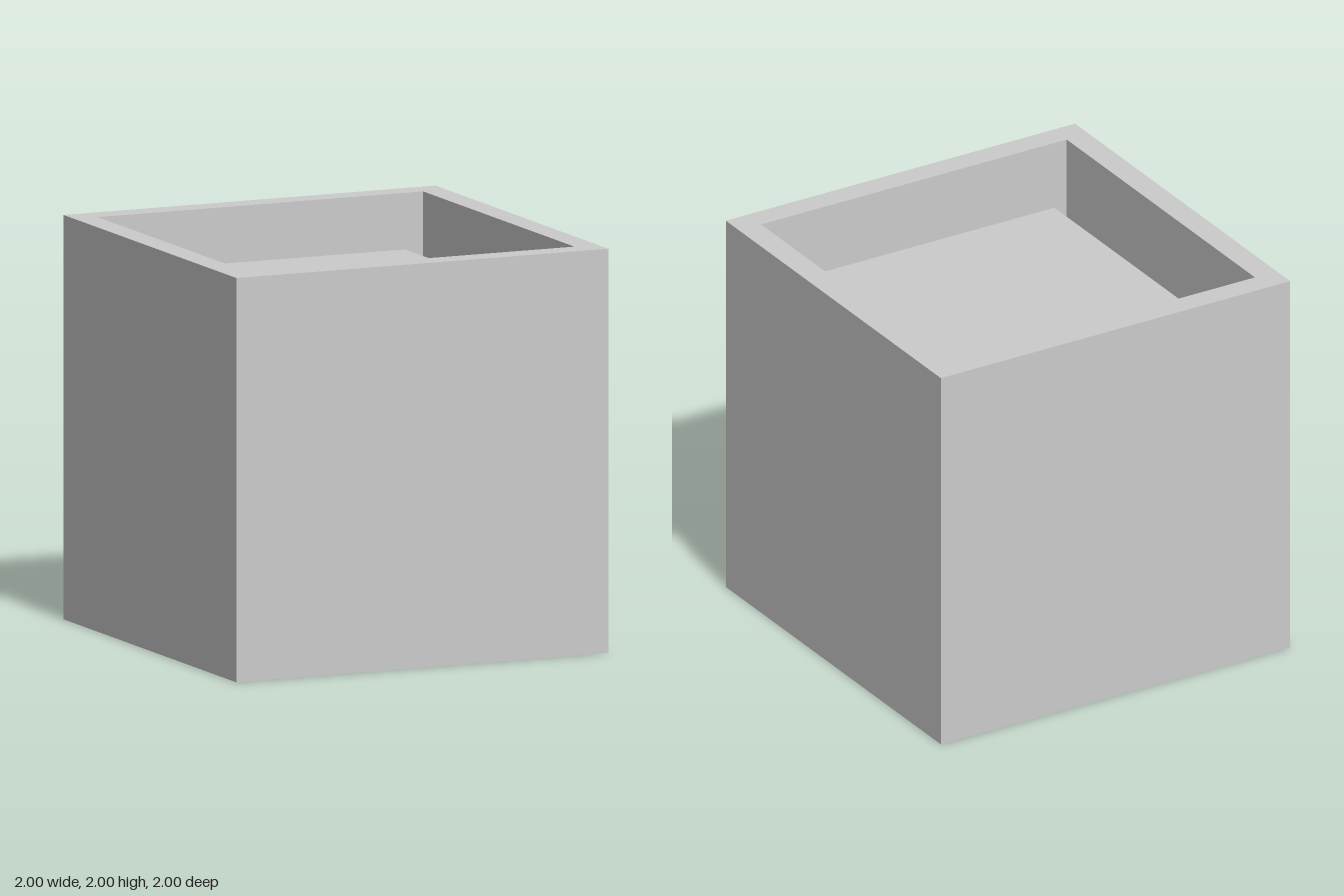
import * as THREE from 'three';

const material = new THREE.MeshStandardMaterial({ color: 0xcccccc, flatShading: true });

function add(parent, name, geometry, x = 0, y = 0, z = 0) {
  const mesh = new THREE.Mesh(geometry, material);
  mesh.name = name;
  mesh.position.set(x, y, z);
  parent.add(mesh);
  return mesh;
}

function square(half, Type = THREE.Shape) {
  return new Type([[-half, -half], [half, -half], [half, half], [-half, half]]
    .map(([x, y]) => new THREE.Vector2(x, y)));
}

export function createModel() {
  const model = new THREE.Group();
  model.name = 'openCrate';
  const floorTop = 0.125, blockTop = 1.755, blockHalf = 0.692;

  // Outer shell: floor slab and a square ring of walls
  add(model, 'floor', new THREE.BoxGeometry(2, floorTop, 2), 0, floorTop / 2, 0);
  const ring = square(1);
  ring.holes.push(square(0.875, THREE.Path));
  const walls = new THREE.ExtrudeGeometry(ring, { depth: 2 - floorTop, bevelEnabled: false });
  walls.rotateX(-Math.PI / 2);
  add(model, 'walls', walls, 0, floorTop, 0);

  // Inner block standing in the shell
  const height = blockTop - floorTop;
  add(model, 'innerBlock', new THREE.BoxGeometry(2 * blockHalf, height, 2 * blockHalf),
    0, floorTop + height / 2, 0);

  // Tapered knobs with a thin base flange, pointing out along +z
  const knobGeometry = new THREE.CylinderGeometry(0.185, 0.23, 0.13, 16);
  knobGeometry.rotateY(Math.PI / 16).rotateX(Math.PI / 2).translate(0, 0, 0.077);
  const flangeGeometry = new THREE.CylinderGeometry(0.24, 0.24, 0.012, 16);
  flangeGeometry.rotateX(Math.PI / 2).translate(0, 0, 0.006);

  // Two by two knobs on the front, left and back of the block
  const sides = { front: 0, left: Math.PI / 2, back: Math.PI };
  for (const [side, angle] of Object.entries(sides)) {
    const panel = new THREE.Group();
    panel.name = side + 'Knobs';
    panel.rotation.y = angle;
    for (const x of [-0.255, 0.255]) {
      for (const y of [0.81, 1.32]) {
        add(panel, 'knob', knobGeometry, x, y, blockHalf);
        add(panel, 'knobFlange', flangeGeometry, x, y, blockHalf);
      }
    }
    model.add(panel);
  }
  return model;
}
